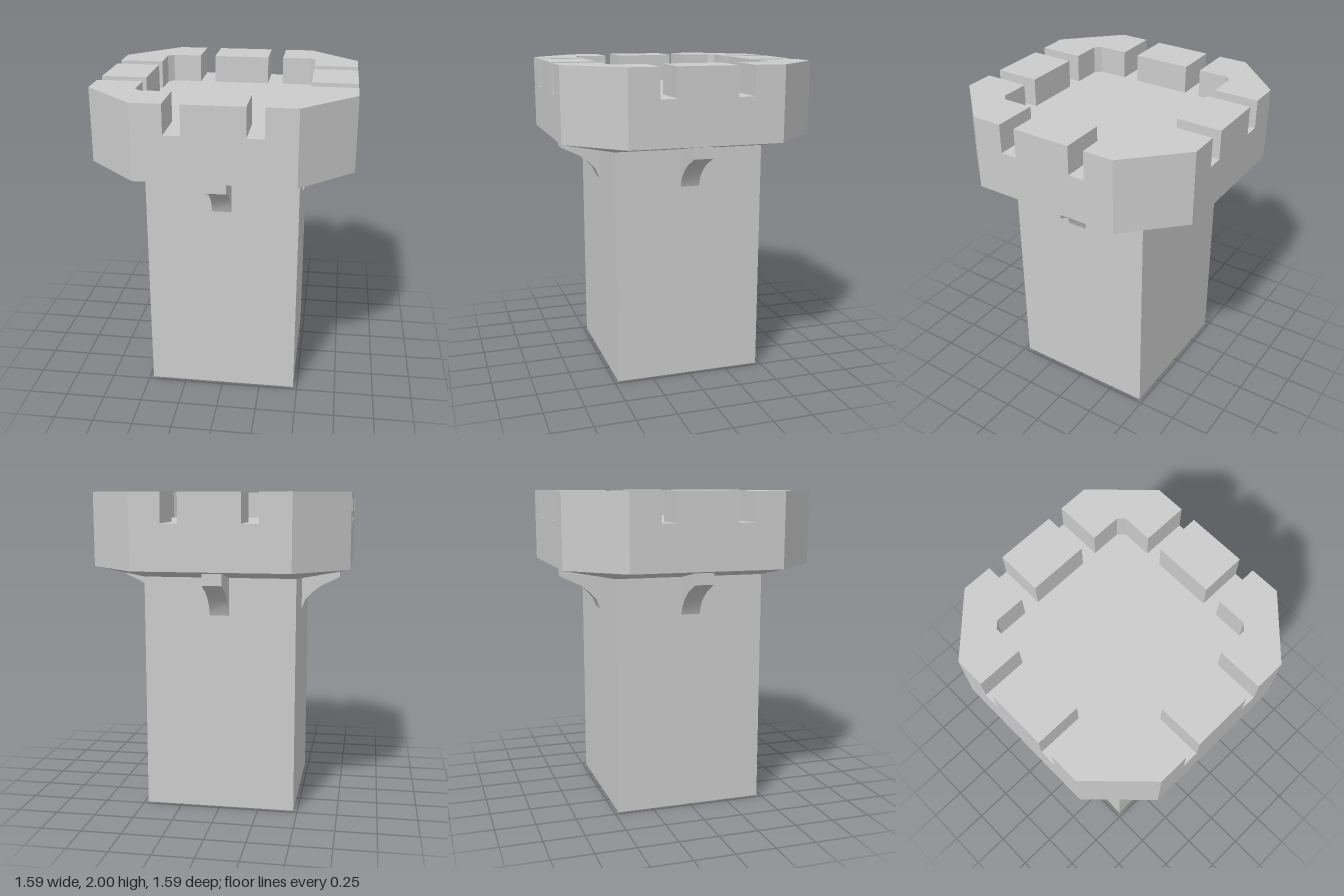
import * as THREE from 'three';
import { toCreasedNormals } from 'three/addons/utils/BufferGeometryUtils.js';

const S = 0.475;   // half width of the shaft
const H = 0.795;   // half width of the head
const IN = 0.512;  // inner face of the battlements
const BASE = 1.54, FLOOR = 1.82, TOP = 2, NECK = 1.48;
const GAP = [0.185, 0.287]; // crenel edges

const material = new THREE.MeshStandardMaterial({ color: 0xcccccc, flatShading: true });
const openMaterial = new THREE.MeshStandardMaterial({ color: 0xcccccc, flatShading: true, side: THREE.DoubleSide });
const smoothMaterial = new THREE.MeshStandardMaterial({ color: 0xcccccc });

// Extrude a plan outline (x, -z) upwards between two heights
function slab(points, y0, y1) {
  const shape = new THREE.Shape(points.map(([x, y]) => new THREE.Vector2(x, y)));
  const g = new THREE.ExtrudeGeometry(shape, { depth: y1 - y0, bevelEnabled: false });
  return g.rotateX(-Math.PI / 2).translate(0, y0, 0);
}

// Sloping underside: one panel and one corner triangle
function undersideGeometry() {
  const a = [-S, NECK, S], b = [S, NECK, S], c = [S, BASE, H], d = [-S, BASE, H], e = [H, BASE, S];
  const g = new THREE.BufferGeometry();
  g.setAttribute('position', new THREE.Float32BufferAttribute([a, b, c, a, c, d, b, e, c].flat(), 3));
  g.computeVertexNormals();
  return g;
}

// Curved bracket under the head, facing +x
function bracketGeometry() {
  const outline = [[S - 0.01, 1.245], [S, 1.245], [0.5, 1.305], [0.545, 1.355], [0.605, 1.4],
    [0.72, 1.455], [0.72, 1.526], [S - 0.01, 1.48]];
  const shape = new THREE.Shape(outline.map(([x, y]) => new THREE.Vector2(x, y)));
  const g = new THREE.ExtrudeGeometry(shape, { depth: 0.12, bevelEnabled: false }).translate(0, 0, -0.06);
  return toCreasedNormals(g, 0.6);
}

export function createModel() {
  const tower = new THREE.Group();
  tower.name = 'tower';
  const add = (name, geometry, mat = material, turn = 0) => {
    const mesh = new THREE.Mesh(geometry, mat);
    mesh.name = name;
    mesh.rotation.y = turn * Math.PI / 2;
    tower.add(mesh);
  };

  // Square shaft, open at the bottom
  const shaft = new THREE.CylinderGeometry(S * Math.SQRT2, S * Math.SQRT2, BASE, 4, 1, true);
  add('shaft', shaft.rotateY(Math.PI / 4).translate(0, BASE / 2, 0), openMaterial);

  // Octagonal platform
  const octagon = [[S, -H], [H, -S], [H, S], [S, H], [-S, H], [-H, S], [-H, -S], [-S, -H]];
  add('platform', slab(octagon, BASE, FLOOR));

  // Battlements, underside and brackets repeat on all four sides
  const [g0, g1] = GAP;
  const middle = slab([[IN, -g0], [H, -g0], [H, g0], [IN, g0]], FLOOR, TOP);
  const corner = slab([[g1, H], [g1, IN], [S, IN], [IN, S], [IN, g1], [H, g1], [H, S], [S, H]], FLOOR, TOP);
  const underside = undersideGeometry();
  const bracket = bracketGeometry();
  for (let i = 0; i < 4; i++) {
    add('sideMerlon', middle, material, i);
    add('cornerMerlon', corner, material, i);
    add('underside', underside, openMaterial, i);
    add('bracket', bracket, smoothMaterial, i);
  }
  return tower;
}
